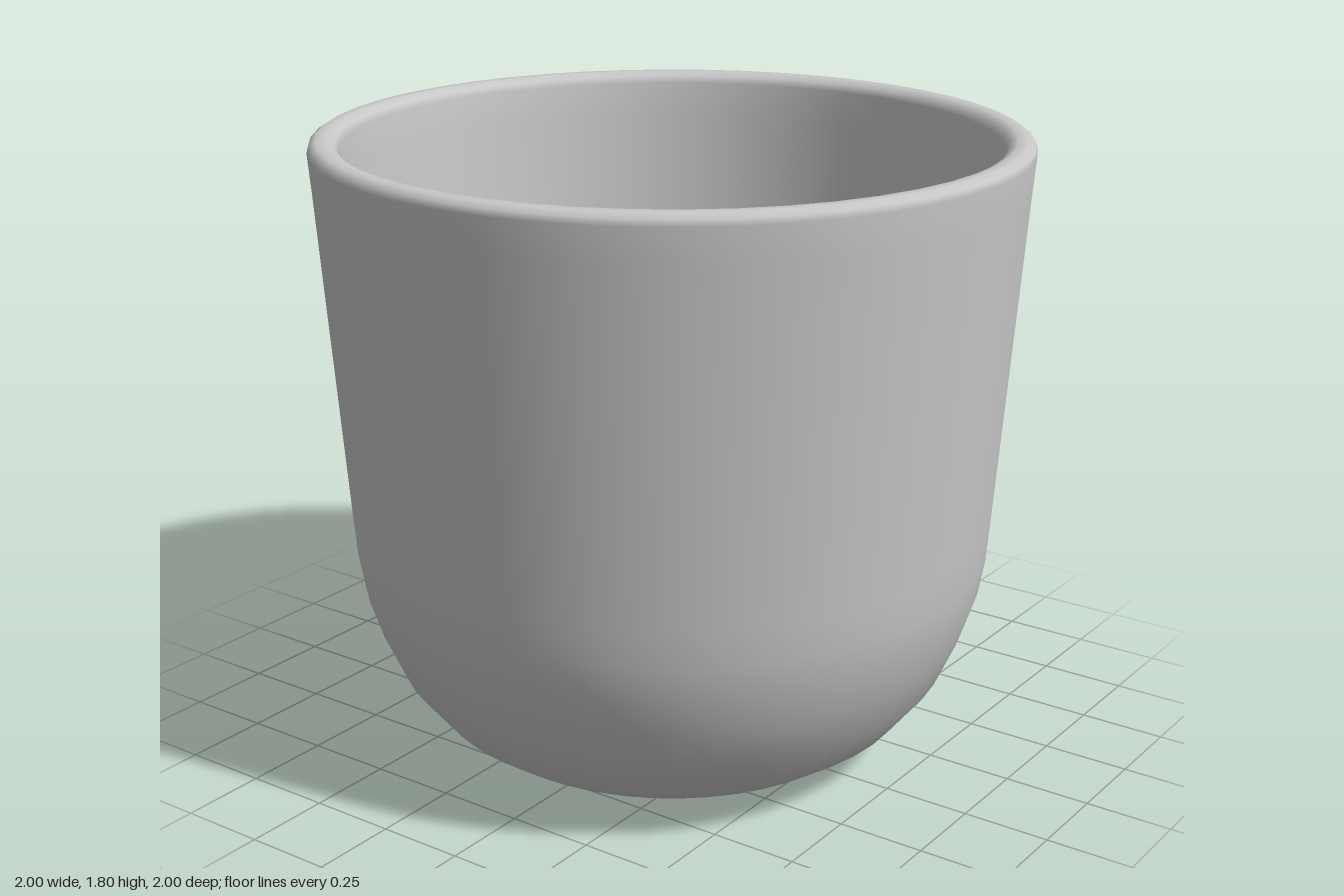
import * as THREE from 'three';

export function createModel() {
  const group = new THREE.Group();
  group.name = 'cup';
  const ceramic = new THREE.MeshStandardMaterial({ color: 0xc8c8c8 });
  ceramic.name = 'grey ceramic';

  // One continuous wall: underside, rounded base, tapered side, rim, then the hollow inside
  const outside = [
    [0, 0], [0.36, 0], [0.44, 0.006], [0.52, 0.025], [0.61, 0.062], [0.7, 0.125],
    [0.8, 0.25], [0.86, 0.385], [0.897, 0.5], [0.914, 0.6], [0.922, 0.7], [0.99, 1.67],
  ];
  const rim = [
    [0.998, 1.77], [0.993, 1.788], [0.975, 1.8], [0.945, 1.8], [0.923, 1.788], [0.914, 1.768],
  ];
  const inside = [
    [0.908, 1.67], [0.84, 0.7], [0.832, 0.61], [0.815, 0.515], [0.78, 0.41],
    [0.73, 0.3], [0.645, 0.19], [0.57, 0.132], [0.49, 0.099], [0.42, 0.085], [0.34, 0.08], [0, 0.08],
  ];
  const profile = [...outside, ...rim, ...inside].map(([r, y]) => new THREE.Vector2(r, y));

  const body = new THREE.Mesh(new THREE.LatheGeometry(profile, 48), ceramic);
  body.name = 'cupBody';
  group.add(body);
  return group;
}
